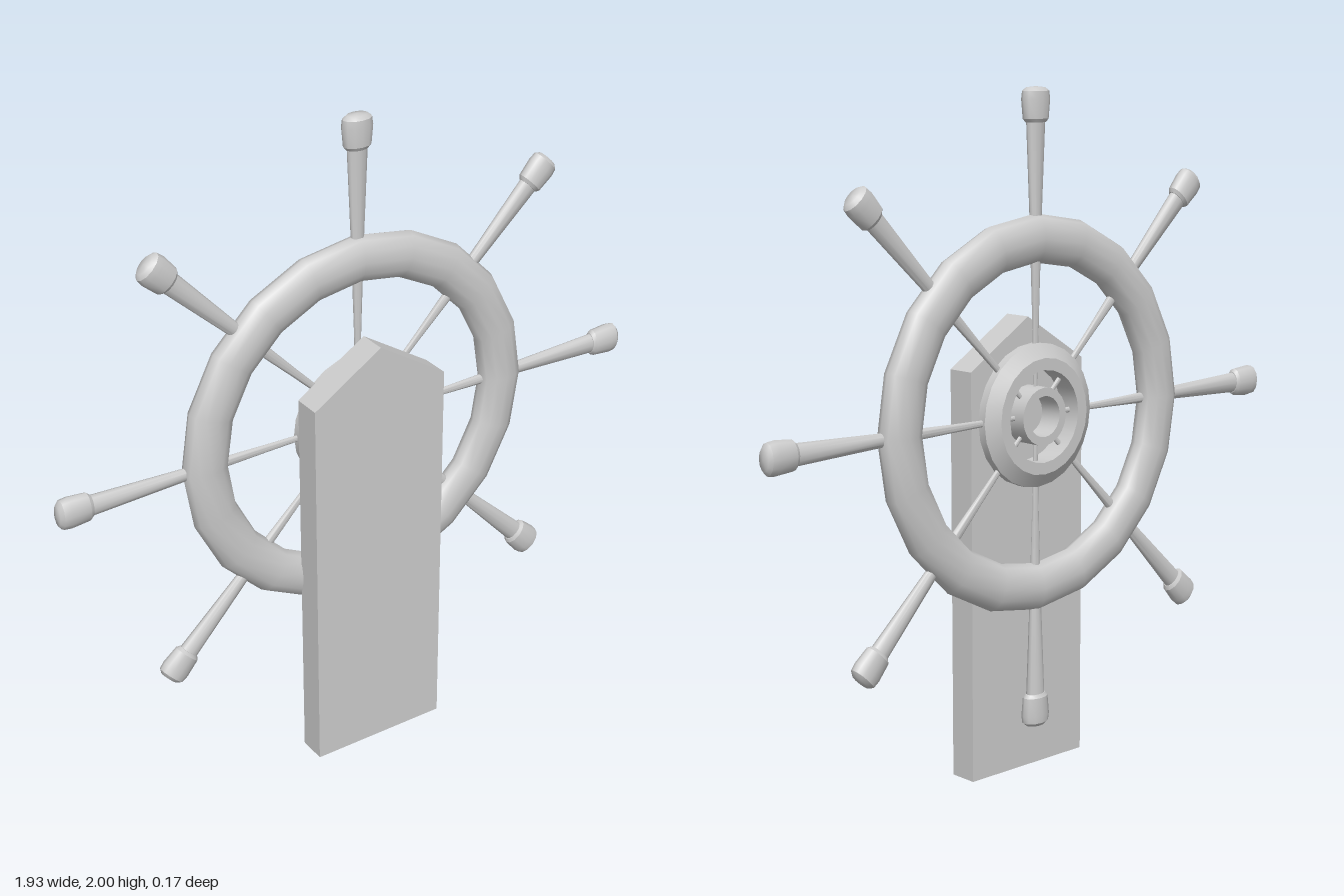
import * as THREE from 'three';
import { toCreasedNormals } from 'three/addons/utils/BufferGeometryUtils.js';

const grey = new THREE.MeshStandardMaterial({ color: 0xcccccc, side: THREE.DoubleSide });

function part(name, geometry, parent) {
  const mesh = new THREE.Mesh(geometry, grey);
  mesh.name = name;
  parent.add(mesh);
  return mesh;
}

// Turned part from [radius, height] pairs, with crisp edges
function turned(points, sides) {
  const profile = points.map(([r, y]) => new THREE.Vector2(r, y));
  return toCreasedNormals(new THREE.LatheGeometry(profile, sides), 0.6);
}

export function createModel() {
  const model = new THREE.Group();
  model.name = 'shipWheel';

  // Upright board with a pointed top
  const outline = new THREE.Shape([
    [-0.225, 0], [0.215, 0], [0.215, 1.21], [-0.005, 1.35], [-0.225, 1.21],
  ].map(([x, y]) => new THREE.Vector2(x, y)));
  const board = part('board',
    new THREE.ExtrudeGeometry(outline, { depth: 0.087, bevelEnabled: false }), model);
  board.position.z = -0.004;

  // The wheel is flattened front to back
  const wheel = new THREE.Group();
  wheel.name = 'wheel';
  wheel.position.set(-0.003, 1.067, -0.038);
  wheel.scale.z = 0.65;
  model.add(wheel);

  part('rim', new THREE.TorusGeometry(0.51, 0.07, 12, 20), wheel);

  // Hub: bevelled outer ring and a small tube at the centre
  const hubRing = part('hubRing', turned([
    [0.135, -0.06], [0.17, -0.06], [0.21, -0.02], [0.21, 0.02],
    [0.17, 0.06], [0.135, 0.06], [0.135, -0.06],
  ], 24), wheel);
  const hubTube = part('hubTube', turned([
    [0.06, -0.06], [0.085, -0.06], [0.085, 0.06], [0.06, 0.06], [0.06, -0.06],
  ], 20), wheel);
  hubRing.rotation.x = hubTube.rotation.x = Math.PI / 2;

  // Eight tapered spokes, each ending in a rounded knob
  const spokeShape = turned([[0.007, 0.07], [0.012, 0.3], [0.021, 0.58], [0.032, 0.85]], 12);
  const knobShape = turned([
    [0, 0.835], [0.034, 0.835], [0.043, 0.845], [0.048, 0.9], [0.045, 0.922], [0.032, 0.932], [0, 0.935],
  ], 12);
  for (let i = 0; i < 8; i++) {
    const spoke = new THREE.Group();
    spoke.name = 'spoke' + (i + 1);
    spoke.rotation.z = i * Math.PI / 4;
    // The two level spokes are slightly longer
    if (i % 4 === 2) spoke.scale.y = 1.033;
    part('spokeShaft', spokeShape, spoke);
    part('spokeKnob', knobShape, spoke);
    wheel.add(spoke);
  }

  return model;
}
